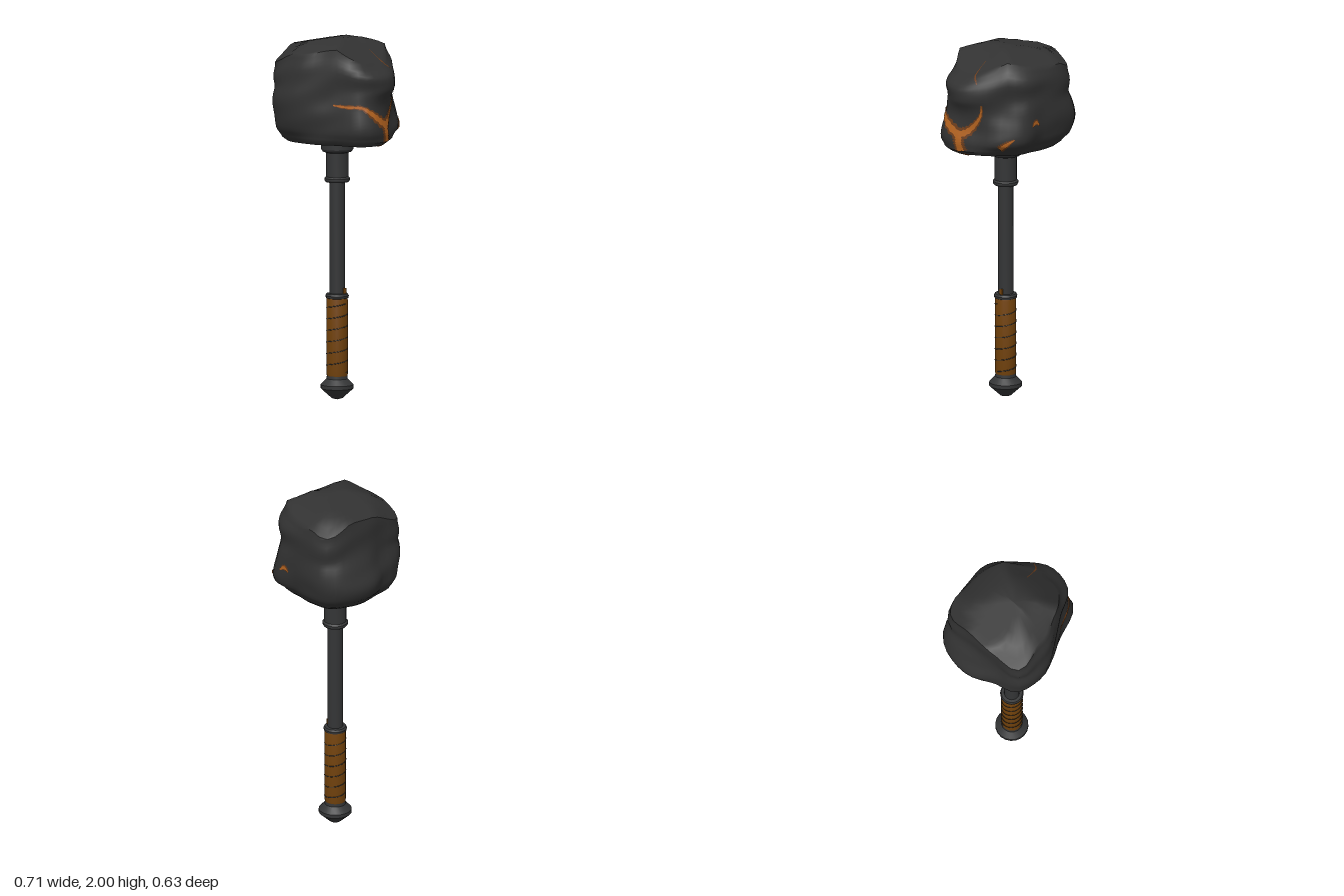
import * as THREE from 'three';
import { toCreasedNormals } from 'three/addons/utils/BufferGeometryUtils.js';

const mat = (name, color, side = THREE.FrontSide) => {
  const m = new THREE.MeshStandardMaterial({ color, side });
  m.name = name;
  return m;
};

// Rock outline: one row of radii per height, 16 directions starting at +x and turning towards +z
const HEIGHTS = [1.45, 1.5, 1.58, 1.66, 1.75, 1.85, 1.94];
const RADII = [
  [.33, .345, .26, .235, .245, .265, .31, .28, .285, .30, .31, .27, .25, .27, .28, .30],
  [.335, .365, .28, .25, .265, .30, .34, .31, .335, .355, .355, .305, .285, .325, .325, .31],
  [.315, .355, .28, .255, .28, .325, .355, .315, .35, .38, .385, .32, .30, .335, .315, .295],
  [.315, .33, .27, .25, .285, .335, .36, .30, .318, .352, .375, .325, .305, .32, .285, .30],
  [.345, .325, .265, .25, .28, .32, .35, .29, .285, .31, .355, .315, .295, .30, .285, .32],
  [.345, .33, .27, .25, .275, .305, .355, .30, .285, .30, .36, .32, .30, .31, .29, .315],
  [.27, .27, .25, .23, .25, .28, .345, .30, .285, .295, .345, .30, .27, .265, .25, .26],
];
const SIDES = 48, SHOULDER = 1.7;

const spline = (a, b, c, d, t) =>
  b + 0.5 * t * (c - a + t * (2 * a - 5 * b + 4 * c - d + t * (3 * (b - c) + d - a)));

function radiusAt(row, angle) {
  const f = (angle / (2 * Math.PI)) * 16, i = Math.floor(f);
  const at = k => RADII[row][(i + k + 16) % 16];
  return spline(at(-1), at(0), at(1), at(2), f - i);
}

// Sloping facets that form the top of the rock, with both left corners knocked off
const roof = (x, z) => Math.min(
  2, 2 + 0.2 * x, 2 - 0.75 * (x - 0.09), 2.005 - 1.25 * z * z,
  2.13 - 0.55 * (z - x), 2.15 + 0.55 * (x + z));

function rockGeometry() {
  const last = HEIGHTS.length - 1;
  const rings = [[0, 0.001, 1.425], [0, 0.5, 1.425], [0, 0.9, 1.427]];
  for (let k = 0; k <= last * 4; k++) rings.push([k / 4, 1, null]);
  for (const s of [0.95, 0.85, 0.7, 0.5, 0.25, 0.001]) rings.push([last, s, 2]);

  const pos = [], index = [];
  rings.forEach(([v, scale, fixedY]) => {
    const r = Math.min(Math.floor(v + 1e-6), last), t = v - r;
    const rows = [-1, 0, 1, 2].map(k => Math.max(0, Math.min(last, r + k)));
    const y0 = fixedY ?? THREE.MathUtils.lerp(HEIGHTS[r], HEIGHTS[rows[2]], t);
    for (let i = 0; i < SIDES; i++) {
      const a = (i / SIDES) * 2 * Math.PI;
      const chip = 0.004 * Math.sin(7 * a + 23 * y0) * Math.sin(3 * a - 17 * y0);
      const rad = scale * (spline(...rows.map(q => radiusAt(q, a)), t) + chip);
      const x = rad * Math.cos(a), z = rad * Math.sin(a);
      // The upper sides end exactly on the edge of the roof
      const edge = radiusAt(last, a);
      const rim = roof(edge * Math.cos(a), edge * Math.sin(a));
      let y = y0;
      if (fixedY === 2) y = roof(x, z);
      else if (y0 > SHOULDER) y = SHOULDER + (y0 - SHOULDER) * (rim - SHOULDER) / (HEIGHTS[last] - SHOULDER);
      pos.push(x, y, z);
    }
  });
  for (let j = 0; j < rings.length - 1; j++) {
    for (let i = 0; i < SIDES; i++) {
      const a = j * SIDES + i, b = j * SIDES + (i + 1) % SIDES;
      index.push(a, a + SIDES, b, b, a + SIDES, b + SIDES);
    }
  }
  const geo = new THREE.BufferGeometry();
  geo.setAttribute('position', new THREE.Float32BufferAttribute(pos, 3));
  geo.setIndex(index);
  return toCreasedNormals(geo, 0.8);
}

// Thin strip laid on the rock; each point is [u, v, width], and ray(u, v) aims at the rock
function veinGeometry(rock, points, ray, widen, lift) {
  const curve = new THREE.CatmullRomCurve3(points.map(p => new THREE.Vector3(...p)));
  const caster = new THREE.Raycaster();
  const N = 40, ACROSS = 4, pos = [], index = [];
  for (let i = 0; i <= N; i++) {
    const p = curve.getPoint(i / N), t = curve.getTangent(i / N);
    const len = Math.hypot(t.x, t.y) || 1;
    const jag = 1 + 0.15 * Math.sin(i * 1.3);
    for (let k = 0; k <= ACROSS; k++) {
      const off = (k / ACROSS - 0.5) * Math.max(p.z, 0.003) * widen * jag;
      const [origin, dir] = ray(p.x - t.y / len * off, p.y + t.x / len * off);
      caster.set(origin, dir);
      const hit = caster.intersectObject(rock)[0];
      const q = hit ? hit.point : origin.clone().addScaledVector(dir, 0.68);
      q.addScaledVector(dir, -lift);
      pos.push(q.x, q.y, q.z);
      if (i < N && k < ACROSS) {
        const a = i * (ACROSS + 1) + k, b = a + ACROSS + 1;
        index.push(a, a + 1, b, a + 1, b + 1, b);
      }
    }
  }
  const geo = new THREE.BufferGeometry();
  geo.setAttribute('position', new THREE.Float32BufferAttribute(pos, 3));
  geo.setIndex(index);
  geo.computeVertexNormals();
  return geo;
}

export function createModel() {
  const model = new THREE.Group();
  model.name = 'stoneMaul';
  const stone = mat('stone', 0x323232);
  const iron = mat('iron', 0x343536);
  const leather = mat('leather', 0x72420c);
  const glow = mat('glow', 0xb2621f, THREE.DoubleSide);
  const ember = mat('ember', 0x6a3b1a, THREE.DoubleSide);

  const add = (name, geo, material, parent = model) => {
    const mesh = new THREE.Mesh(geo, material);
    mesh.name = name;
    parent.add(mesh);
    return mesh;
  };

  // Handle, set slightly off the rock's centre
  const handle = new THREE.Group();
  handle.name = 'handle';
  handle.position.x = -0.012;
  model.add(handle);
  const lathe = (name, profile, material) => add(name, toCreasedNormals(
    new THREE.LatheGeometry(profile.map(p => new THREE.Vector2(...p)), 20), 0.5), material, handle);
  lathe('pommel', [[0, 0], [.03, .008], [.09, .062], [.09, .082], [.058, .115], [.056, .135], [0, .135]], iron);
  lathe('grip', [[.056, .13], [.058, .14], [.058, .55], [.056, .56]], leather);
  lathe('gripCollar', [[.05, .555], [.062, .56], [.064, .572], [.058, .583], [.04, .585]], iron);
  lathe('shaft', [[.042, .57], [.042, 1.21]], iron);
  lathe('socketRing', [[.04, 1.198], [.064, 1.198], [.07, 1.208], [.07, 1.218], [.06, 1.228]], iron);
  lathe('socket', [[.061, 1.22], [.061, 1.36], [.08, 1.366], [.089, 1.38], [.089, 1.45]], iron);

  // Loose end of the leather above the collar
  add('leatherEnd', new THREE.BoxGeometry(.008, .035, .022), leather, handle).position.set(.042, .597, -.012);

  // Spiral seam between the leather windings
  const seam = [];
  for (let i = 0; i <= 120; i++) {
    const a = (i / 120) * 12 * Math.PI;
    seam.push(new THREE.Vector3(.058 * Math.cos(a), .15 + .38 * i / 120, -.058 * Math.sin(a)));
  }
  add('gripSeam', new THREE.TubeGeometry(new THREE.CatmullRomCurve3(seam), 200, .0024, 5), iron, handle);

  // Rock head
  const rock = add('rockHead', rockGeometry(), stone);
  rock.updateMatrixWorld(true);

  // Cracks: u is degrees round the rock (in arc length), v is height
  const ARC = 0.33 * Math.PI / 180;
  const sideRay = (u, v) => {
    const d = new THREE.Vector3(Math.cos(u / 0.33), 0, Math.sin(u / 0.33));
    return [d.clone().setY(v), d.clone().negate()];
  };
  const underRay = (u, v) => [new THREE.Vector3(u, 0.7, v), new THREE.Vector3(0, 1, 0)];
  const topRay = (u, v) => [new THREE.Vector3(u, 2.6, v), new THREE.Vector3(0, -1, 0)];
  const cooled = (name, pts, ray) => add(name, veinGeometry(rock, pts, ray, 1, 0.003), ember);
  const vein = (name, pts, ray) => {
    add(name + 'Rim', veinGeometry(rock, pts, ray, 1.9, 0.003), ember);
    add(name, veinGeometry(rock, pts, ray, 1, 0.006), glow);
  };
  const arc = pts => pts.map(([a, y, w]) => [a * ARC, y, w]);
  vein('crackStem', arc([[-3, 1.45, .04], [-1, 1.49, .034], [0, 1.55, .04]]), sideRay);
  vein('crackFront', arc([[0, 1.54, .036], [10, 1.575, .032], [19, 1.615, .022], [27, 1.645, .013],
    [42, 1.648, .012], [57, 1.655, .005]]), sideRay);
  vein('crackBack', arc([[0, 1.54, .036], [-9, 1.565, .03], [-18, 1.615, .02], [-23, 1.66, .012],
    [-25, 1.72, .005]]), sideRay);
  cooled('crackRoof', [[.29, -.10, .005], [.265, -.062, .009], [.22, -.052, .004], [.175, -.05, .003]], topRay);
  vein('crackRear', arc([[-44, 1.48, .026], [-50, 1.51, .018], [-58, 1.54, .004]]), sideRay);
  vein('crackRearSmall', arc([[-77, 1.60, .005], [-82, 1.62, .017], [-87, 1.60, .005]]), sideRay);
  cooled('crackUnderRim', [[.31, 0, .05], [.2, .01, .11], [.06, .03, .15]], underRay);
  vein('crackUnder', [[.29, -.01, .035], [.19, .01, .05], [.08, .02, .08]], underRay);
  vein('crackUnderFront', [[.14, .05, .045], [.02, .12, .036], [-.1, .15, .018], [-.19, .16, .008]], underRay);

  return model;
}
